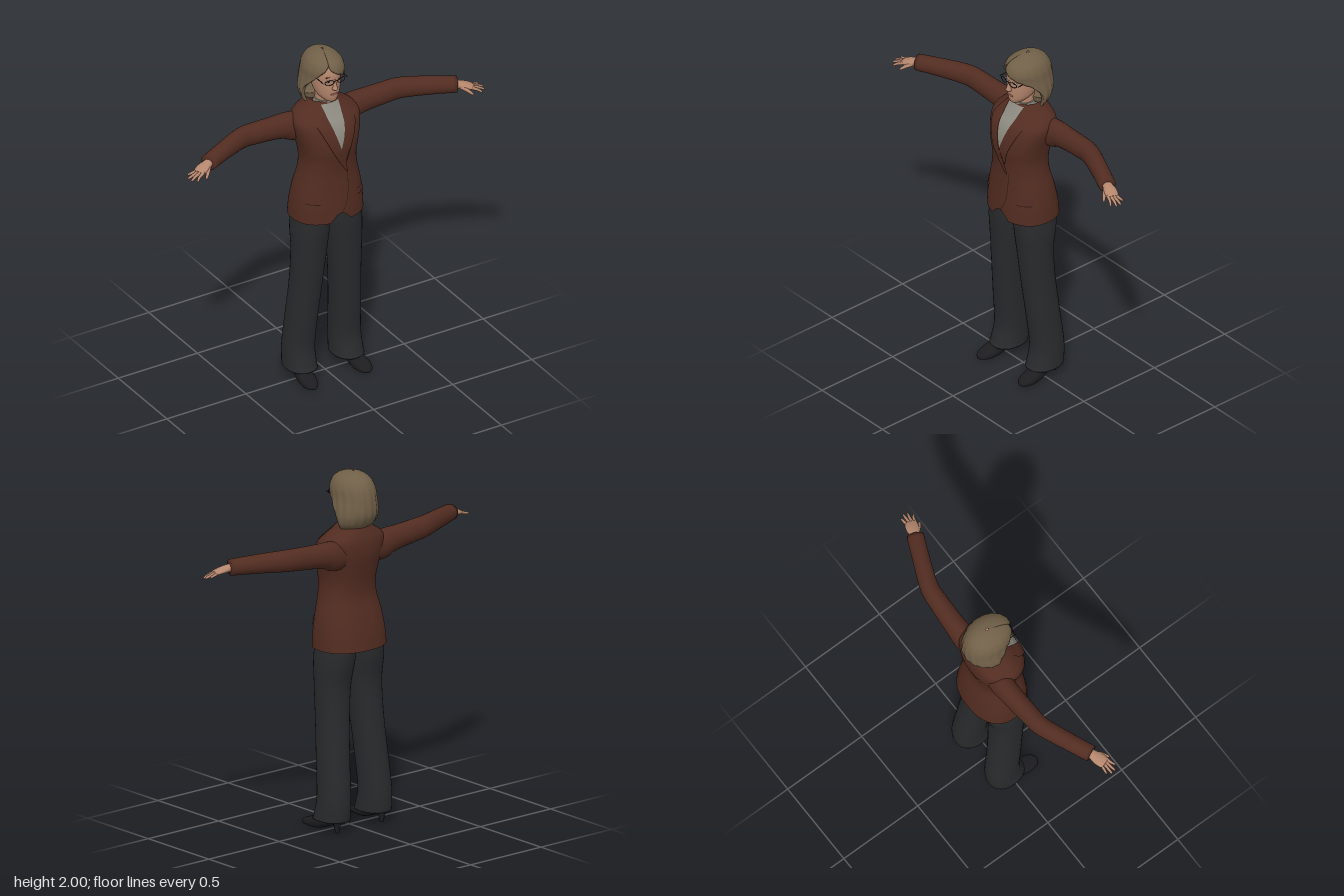
import * as THREE from 'three';

const paint = (name, color, side = THREE.FrontSide) => {
  const m = new THREE.MeshStandardMaterial({ color, side });
  m.name = name;
  return m;
};

// Smoothly resample a table of cross-sections
function smooth(rows, steps = 5) {
  const out = [], n = rows.length;
  for (let i = 0; i < n - 1; i++) {
    const [a, b, c, d] = [rows[Math.max(i - 1, 0)], rows[i], rows[i + 1], rows[Math.min(i + 2, n - 1)]];
    for (let k = 0; k < steps; k++) {
      const t = k / steps;
      out.push(b.map((v, j) => v + 0.5 * t * (c[j] - a[j] + t * (2 * a[j] - 5 * v + 4 * c[j] - d[j]
        + t * (3 * (v - c[j]) + d[j] - a[j])))));
    }
  }
  out.push(rows[n - 1]);
  return out;
}

// Skin over rings of points; closed loops unless open is set
function skin(rings, caps = true, open = false) {
  const n = rings[0].length, pos = rings.flat().flatMap(p => p.toArray()), idx = [];
  const cols = open ? n - 1 : n;
  for (let i = 0; i < rings.length - 1; i++) for (let j = 0; j < cols; j++) {
    const a = i * n + j, b = i * n + (j + 1) % n;
    idx.push(a, b, b + n, a, b + n, a + n);
  }
  if (caps) for (const [r, flip] of [[0, true], [rings.length - 1, false]]) {
    const c = new THREE.Vector3(), at = pos.length / 3;
    rings[r].forEach(p => c.addScaledVector(p, 1 / n));
    pos.push(c.x, c.y, c.z);
    for (let j = 0; j < n; j++) {
      const a = r * n + j, b = r * n + (j + 1) % n;
      idx.push(at, flip ? b : a, flip ? a : b);
    }
  }
  const g = new THREE.BufferGeometry();
  g.setAttribute('position', new THREE.Float32BufferAttribute(pos, 3));
  g.setIndex(idx);
  g.computeVertexNormals();
  return g;
}

// Upright body from rows [y, xMin, xMax, zFront, zBack]; p squares the section
const bulge = (v, p) => Math.sign(v) * Math.abs(v) ** (2 / p);
function upright(rows, { seg = 32, p = 2, caps = true, edit } = {}) {
  const rings = smooth(rows).map(([y, x0, x1, zf, zb]) => Array.from({ length: seg }, (_, j) => {
    const t = j / seg * Math.PI * 2;
    const v = new THREE.Vector3((x0 + x1) / 2 + bulge(Math.sin(t), p) * (x1 - x0) / 2, y,
      (zf + zb) / 2 + bulge(Math.cos(t), p) * (zf - zb) / 2);
    if (edit) edit(v);
    return v;
  }));
  return skin(rings, caps);
}
const even = rows => rows.map(([y, r, zf, zb]) => [y, -r, r, zf, zb]);

// Limb along a path from rows [x, y, z, sideRadius, upRadius]
function limb(rows, seg = 20) {
  const s = smooth(rows), at = i => new THREE.Vector3(...s[Math.min(Math.max(i, 0), s.length - 1)].slice(0, 3));
  const rings = s.map((r, i) => {
    const t = at(i + 1).sub(at(i - 1)).normalize();
    const side = new THREE.Vector3(0, 1, 0).cross(t).normalize(), up = t.clone().cross(side);
    return Array.from({ length: seg }, (_, j) => {
      const a = j / seg * Math.PI * 2;
      return at(i).addScaledVector(side, Math.cos(a) * r[3]).addScaledVector(up, Math.sin(a) * r[4]);
    });
  });
  return skin(rings);
}

export function createModel() {
  const model = new THREE.Group();
  const D = THREE.DoubleSide;
  const jacket = paint('jacket brown', 0x522c21, D), seamMat = paint('seam dark brown', 0x2c1610, D);
  const shirt = paint('shirt grey', 0x8c8a80, D), cloth = paint('trouser charcoal', 0x292a2c);
  const leather = paint('shoe black', 0x1d1d20), flesh = paint('skin', 0xb5866d);
  const hairMat = paint('hair', 0x716048, D), lip = paint('lips', 0x985b50);
  const frame = paint('glasses black', 0x17171a), white = paint('eye white', 0xc9c4bc);
  const add = (name, geo, mat, parent = model) => {
    const m = new THREE.Mesh(geo, mat);
    m.name = name;
    parent.add(m);
    return m;
  };

  // Jacket body, with the hem cut away at the front
  const P = 2.3;
  const torso = even([
    [1.015, .21, .168, -.165], [1.1, .205, .165, -.155], [1.2, .19, .157, -.135], [1.3, .166, .152, -.112],
    [1.38, .158, .157, -.115], [1.46, .17, .165, -.13], [1.54, .19, .155, -.145], [1.6, .198, .13, -.146],
    [1.64, .175, .095, -.14], [1.68, .115, .065, -.125], [1.71, .08, .045, -.11]]);
  const cutHem = v => {
    if (v.z > 0) v.y = Math.max(v.y, 1.015 + .05 * Math.max(0, 1 - (v.x / .06) ** 2));
  };
  add('jacketBody', upright(torso, { seg: 72, p: P, caps: false, edit: cutHem }), jacket);

  // Thin pieces that follow the chest, from rows [y, xMin, xMax]
  const fine = smooth(torso);
  const frontZ = (x, y) => {
    const i = fine.findIndex((r, k) => k === fine.length - 2 || fine[k + 1][0] >= y);
    const t = THREE.MathUtils.clamp((y - fine[i][0]) / (fine[i + 1][0] - fine[i][0]), 0, 1);
    const [, , r, zf, zb] = fine[i].map((v, j) => THREE.MathUtils.lerp(v, fine[i + 1][j], t));
    return (zf + zb) / 2 + (zf - zb) / 2 * Math.max(0, 1 - Math.abs(x / r) ** P) ** (1 / P);
  };
  const patch = (name, mat, rows, off) => {
    const strips = smooth(rows, 8).map(([y, a, b]) => Array.from({ length: 11 }, (_, j) => {
      const x = a + (b - a) * j / 10;
      return new THREE.Vector3(x, y, frontZ(x, y) + off);
    }));
    add(name, skin(strips, false, true), mat);
  };
  const seam = (name, pts, off) => patch(name, seamMat, pts.map(([x, y]) => [y, x - .002, x + .002]), off);

  patch('shirtFront', shirt, [[1.46, -.002, .002], [1.54, -.026, .026], [1.62, -.046, .046], [1.7, -.06, .06]], .004);
  patch('leftLapel', jacket, [[1.37, .03, .034], [1.42, .012, .045], [1.46, .001, .06], [1.54, .024, .093],
    [1.61, .042, .12], [1.66, .05, .105], [1.705, .056, .075]], .007);
  patch('rightLapel', jacket, [[1.31, .042, .05], [1.38, -.006, .028], [1.46, -.052, .001], [1.54, -.09, -.024],
    [1.61, -.12, -.042], [1.66, -.105, -.05], [1.705, -.075, -.056]], .01);
  seam('leftLapelSeam', [[.034, 1.37], [.06, 1.46], [.093, 1.54], [.12, 1.61]], .009);
  seam('rightLapelSeam', [[.042, 1.31], [-.006, 1.38], [-.052, 1.46], [-.09, 1.54], [-.12, 1.61]], .011);
  seam('frontEdgeSeam', [[.005, 1.065], [.035, 1.12], [.05, 1.2], [.05, 1.31]], .003);
  for (const s of [-1, 1]) {
    const wide = (y, a, b) => [y, Math.min(s * a, s * b), Math.max(s * a, s * b)];
    patch('pocketFlap', jacket, [wide(1.14, .115, .182), wide(1.175, .112, .178)], .006);
    patch('pocketSeam', seamMat, [wide(1.137, .115, .182), wide(1.141, .115, .182)], .007);
  }

  // Roll neck
  const rollNeck = even([[1.6, .08, .08, -.09], [1.66, .066, .07, -.085], [1.69, .058, .054, -.075],
    [1.712, .055, .05, -.07]]);
  add('rollNeck', upright(rollNeck), shirt);

  // Arms, legs and shoes, mirrored
  for (const s of [1, -1]) {
    const half = new THREE.Group();
    half.name = s > 0 ? 'leftLimbs' : 'rightLimbs';
    half.scale.x = s;
    model.add(half);
    const sleeve = [[.1, 1.55, -.05, .07, .08], [.17, 1.556, -.057, .066, .084], [.22, 1.568, -.06, .061, .074],
      [.3, 1.576, -.058, .057, .066], [.4, 1.583, -.053, .054, .063], [.5, 1.589, -.042, .051, .06],
      [.64, 1.588, .014, .048, .053], [.785, 1.582, .078, .047, .045]];
    add('sleeve', limb(sleeve, 28), jacket, half);
    const palm = [[.76, 1.583, .068, .026, .022], [.79, 1.58, .08, .028, .021], [.825, 1.573, .092, .036, .018],
      [.855, 1.564, .104, .036, .014], [.868, 1.56, .109, .03, .01]];
    add('palm', limb(palm, 16), flesh, half);
    const fingers = [[.856, .128, .902, .15, 1.533], [.866, .116, .926, .13, 1.534],
      [.867, .102, .932, .107, 1.538], [.86, .087, .918, .082, 1.545]];
    for (const [x, z, tx, tz, ty] of fingers) {
      const finger = [[x - .01, 1.564, z, .009, .009], [(x + tx) / 2, (1.566 + ty) / 2, (z + tz) / 2, .008, .008],
        [tx - .006, ty + .005, tz, .006, .006], [tx, ty, tz, .002, .002]];
      add('finger', limb(finger, 10), flesh, half);
    }
    const thumb = [[.795, 1.574, .1, .012, .012], [.818, 1.56, .128, .011, .011],
      [.84, 1.54, .15, .007, .007], [.845, 1.534, .154, .002, .002]];
    add('thumb', limb(thumb, 10), flesh, half);

    const leg = [[.065, .058, .236, .088, -.132], [.1, .06, .234, .075, -.136], [.2, .06, .23, .056, -.136],
      [.4, .05, .219, .075, -.115], [.6, .035, .208, .095, -.096], [.8, .016, .205, .112, -.088],
      [.95, .001, .203, .127, -.115], [1.1, -.005, .18, .13, -.125]];
    add('trouserLeg', upright(leg, { p: 2.2 }), cloth, half);

    // Pointed shoe: sections [z, halfWidth, sole, top]
    const shoe = smooth([[-.103, .018, .058, .09], [-.085, .034, .05, .1], [-.03, .038, .03, .1], [.04, .045, .004, .085],
      [.1, .048, 0, .06], [.15, .036, .004, .042], [.173, .012, .01, .026]]);
    const shoeRings = shoe.map(([z, w, lo, hi]) => Array.from({ length: 20 }, (_, j) => {
      const a = j / 20 * Math.PI * 2;
      return new THREE.Vector3(.165 + .06 * (z - .05) + bulge(Math.cos(a), 2.5) * w,
        (lo + hi) / 2 + bulge(Math.sin(a), 2.5) * (hi - lo) / 2, z);
    }));
    add('shoe', skin(shoeRings), leather, half);
    add('shoeHeel', new THREE.CylinderGeometry(.024, .01, .066, 14), leather, half).position.set(.158, .033, -.082);
  }

  // Head and neck
  add('neck', upright(even([[1.68, .05, .045, -.065], [1.76, .05, .045, -.065]])), flesh);
  const head = even([[1.722, .018, .08, .03], [1.732, .038, .09, -.01], [1.76, .06, .097, -.06],
    [1.8, .073, .1, -.09], [1.85, .081, .1, -.11], [1.9, .084, .1, -.13], [1.95, .07, .08, -.11],
    [1.975, .04, .04, -.07]]);
  add('head', upright(head), flesh);
  const nose = even([[1.803, .008, .107, .08], [1.813, .016, .122, .08], [1.83, .011, .119, .08],
    [1.87, .007, .104, .08]]);
  add('nose', upright(nose, { seg: 16 }), flesh);
  const blob = (name, mat, x, y, z, a, b, c) => {
    const m = add(name, new THREE.SphereGeometry(1, 16, 10), mat);
    m.position.set(x, y, z);
    m.scale.set(a, b, c);
  };
  const bar = (name, mat, w, h, d, x, y, z) => add(name, new THREE.BoxGeometry(w, h, d), mat).position.set(x, y, z);
  blob('lips', lip, 0, 1.776, .095, .025, .007, .007);
  bar('glassesBridge', frame, .02, .003, .003, 0, 1.866, .112);
  for (const s of [-1, 1]) {
    blob('eye', white, s * .035, 1.861, .088, .013, .006, .007);
    blob('iris', frame, s * .035, 1.861, .094, .005, .005, .003);
    bar('eyebrow', hairMat, .03, .004, .006, s * .036, 1.887, .092);
    const rim = add('glassesRim', new THREE.TorusGeometry(.026, .0022, 6, 28), frame);
    rim.position.set(s * .037, 1.861, .107);
    rim.scale.y = .55;
    rim.rotation.y = s * .2;
    bar('glassesArm', frame, .003, .004, .13, s * .075, 1.866, .04);
  }

  // Bobbed hair: rows [y, halfWidth, zFront, zBack, leftEdge, rightEdge], edges in degrees from the front
  const hair = smooth([[1.692, .1, .055, -.115, 98, 98], [1.72, .117, .07, -.145, 92, 92], [1.76, .126, .085, -.168, 86, 86],
    [1.8, .124, .095, -.176, 78, 80], [1.85, .116, .105, -.175, 58, 62], [1.88, .113, .11, -.172, 30, 52],
    [1.905, .111, .114, -.167, 5, 42], [1.93, .104, .11, -.158, -14, 30], [1.955, .091, .095, -.142, -20, 20.5],
    [1.978, .067, .063, -.115, -20, 20.5], [1.993, .038, .02, -.08, -20, 20.5], [2, .006, -.02, -.04, -20, 20.5]]);
  const N = 72;
  const hairRings = hair.map(([y, r, zf, zb, l, e]) => Array.from({ length: N * 2 }, (_, j) => {
    const outer = j < N, k = (outer ? j : 2 * N - 1 - j) / (N - 1);
    const t = THREE.MathUtils.degToRad(l + (360 - e - l) * k);
    const wave = 1 + .018 * Math.cos(17 * t + 12 * y) * THREE.MathUtils.smoothstep(2 - y, .01, .15);
    const f = outer ? wave : .84;
    return new THREE.Vector3(Math.sin(t) * r * f, y, (zf + zb) / 2 + Math.cos(t) * (zf - zb) / 2 * f);
  }));
  add('hair', skin(hairRings, false), hairMat);
  // Closes the underside of the hair behind the neck
  add('hairUnderside', upright(even([[1.7, .085, -.03, -.1], [1.74, .1, -.02, -.13]])), hairMat);
  return model;
}
